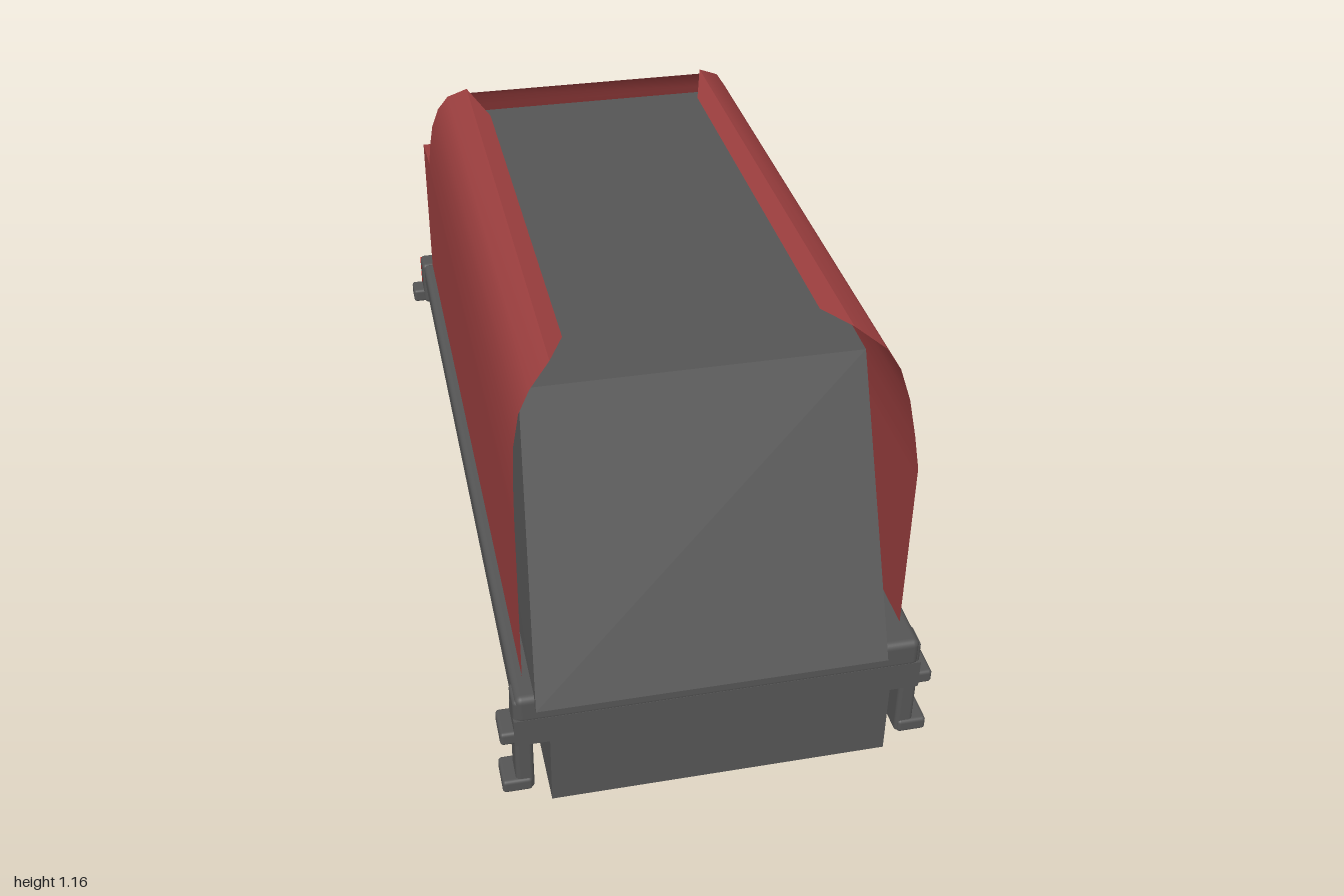
import * as THREE from 'three';
import { toCreasedNormals } from 'three/addons/utils/BufferGeometryUtils.js';
import { RoundedBoxGeometry } from 'three/addons/geometries/RoundedBoxGeometry.js';
import { ConvexGeometry } from 'three/addons/geometries/ConvexGeometry.js';

function material(name, color, side = THREE.FrontSide) {
  const m = new THREE.MeshStandardMaterial({ color, side });
  m.name = name;
  return m;
}

export function createModel() {
  const red = material('body red', 0x9a3e3e, THREE.DoubleSide);
  const grey = material('dark grey', 0x555555);
  const bright = material('buffer red', 0xd00808);
  const steel = material('light steel', 0xa8a8a8);
  const tyreGrey = material('tyre grey', 0x808080, THREE.DoubleSide);

  const model = new THREE.Group();
  model.name = 'tender';

  function add(name, geometry, mat, parent = model) {
    const mesh = new THREE.Mesh(geometry, mat);
    mesh.name = name;
    parent.add(mesh);
    return mesh;
  }

  // box given by its limits; a radius rounds its edges
  function box(name, [x0, x1], [y0, y1], [z0, z1], mat, radius = 0) {
    const size = [x1 - x0, y1 - y0, z1 - z0];
    const geo = radius ? new RoundedBoxGeometry(...size, 3, radius) : new THREE.BoxGeometry(...size);
    add(name, geo, mat).position.set((x0 + x1) / 2, (y0 + y1) / 2, (z0 + z1) / 2);
  }

  // chassis and running board
  box('chassis', [-0.37, 0.38], [0.185, 0.43], [-0.845, 0.98], grey);
  box('runningBoard', [-0.44, 0.44], [0.42, 0.49], [-0.86, 0.98], grey, 0.015);

  // inner tank with sloping front plate and flat roof
  const tankPoints = [];
  for (const [y, z, left, right] of [
    [0.47, 1.0, -0.40, 0.36], [1.07, 0.70, -0.37, 0.36],
    [1.10, -0.565, -0.37, 0.36], [0.47, -0.565, -0.40, 0.36],
  ]) tankPoints.push(new THREE.Vector3(left, y, z), new THREE.Vector3(right, y, z));
  add('tank', new ConvexGeometry(tankPoints), grey);

  // shell rows: half width, height, front z, rear z
  const rows = [
    [0.415, 0.48, 0.91, -0.85],
    [0.415, 0.88, 0.91, -0.85],
    [0.415, 0.905, 0.91, -0.675],
    [0.411, 0.97, 0.885, -0.652],
    [0.404, 1.04, 0.855, -0.622],
    [0.388, 1.10, 0.83, -0.595],
    [0.362, 1.14, 0.81, -0.58],
    [0.312, 1.162, 0.75, -0.57],
    [0.27, 1.15, 0.65, -0.42],
  ];
  const sideShell = [];
  const rearShell = [];
  const quad = (out, a, b, c, d) => out.push(...a, ...b, ...c, ...a, ...c, ...d);
  rows.slice(0, -1).forEach(([x, y, f, r], i) => {
    const [x2, y2, f2, r2] = rows[i + 1];
    quad(sideShell, [x, y, f], [x, y, r], [x2, y2, r2], [x2, y2, f2]);
    quad(sideShell, [-x, y, r], [-x, y, f], [-x2, y2, f2], [-x2, y2, r2]);
    // rear sheet joins both sides below the curled rim
    if (i < rows.length - 2) {
      quad(rearShell, [x, y, r], [-x, y, r], [-x2, Math.min(y2, 1.15), r2], [x2, Math.min(y2, 1.15), r2]);
    }
  });
  function shell(positions) {
    const geo = new THREE.BufferGeometry();
    geo.setAttribute('position', new THREE.Float32BufferAttribute(positions, 3));
    return toCreasedNormals(geo, 0.6);
  }
  add('sidePanels', shell(sideShell), red);
  add('rearPanel', shell(rearShell), red);

  // rear buffer beam
  box('rearBeam', [-0.445, 0.445], [0.36, 0.49], [-0.918, -0.85], grey, 0.012);
  box('rearBeamFace', [-0.445, 0.445], [0.365, 0.478], [-0.923, -0.915], bright);

  for (const s of [-1, 1]) {
    const span = (a, b) => (s > 0 ? [a, b] : [-b, -a]);
    // end brackets and steps
    box('frontBracket', span(0.365, 0.445), [0.36, 0.43], [0.91, 0.98], grey);
    box('frontStepHanger', span(0.405, 0.445), [0.22, 0.48], [0.91, 0.975], grey, 0.01);
    for (const y of [0.222, 0.365]) {
      box('frontStep', span(0.41, 0.475), [y, y + 0.033], [0.90, 0.98], grey, 0.008);
    }
    box('rearStep', span(0.40, 0.475), [0.362, 0.40], [-0.92, -0.86], grey, 0.008);

    // buffer turned as sleeve, shaft and head
    const buffer = new THREE.Group();
    buffer.name = 'buffer';
    buffer.position.set(0.32 * s, 0.42, -0.92);
    buffer.rotation.x = -Math.PI / 2;
    model.add(buffer);
    const turn = (points) => toCreasedNormals(
      new THREE.LatheGeometry(points.map(([x, y]) => new THREE.Vector2(x, y)), 28), 0.6);
    add('bufferSleeve', turn([[0.034, 0], [0.045, 0.012], [0.045, 0.035], [0.036, 0.052], [0, 0.052]]), bright, buffer);
    add('bufferHead', turn([[0.013, 0.045], [0.013, 0.066], [0.049, 0.073], [0.049, 0.076], [0, 0.08]]), steel, buffer);

    // spoked wheels
    for (const z of [0.68, 0.08, -0.55]) {
      const wheel = new THREE.Group();
      wheel.name = 'wheel';
      wheel.position.set(0.3 * s, 0.165, z);
      model.add(wheel);
      const tyre = turn([[0.154, -0.035], [0.165, -0.035], [0.165, 0.035], [0.154, 0.035], [0.154, -0.035]]);
      add('tyre', tyre, tyreGrey, wheel).rotation.z = Math.PI / 2;
      add('hub', new THREE.CylinderGeometry(0.03, 0.03, 0.05, 20), grey, wheel).rotation.z = Math.PI / 2;
      const spokes = 28;
      for (let i = 0; i < spokes; i++) {
        const a = (i / spokes) * Math.PI * 2;
        const spoke = add('spoke', new THREE.BoxGeometry(0.03, 0.132, 0.012), grey, wheel);
        spoke.position.set(0, Math.cos(a) * 0.09, Math.sin(a) * 0.09);
        spoke.rotation.x = a;
      }
    }
  }
  return model;
}
